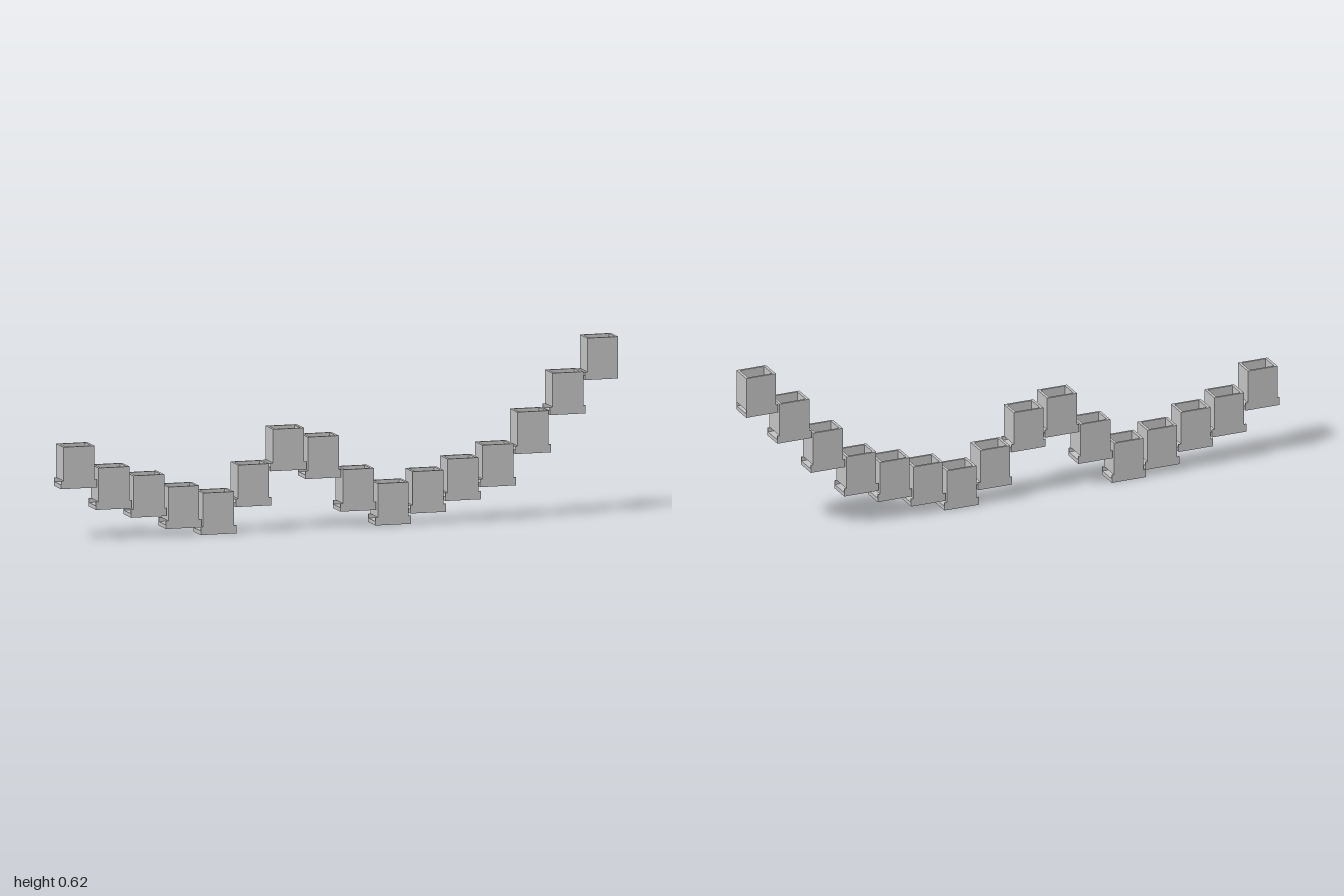
import * as THREE from 'three';

const plastic = new THREE.MeshStandardMaterial({ color: 0xc4c4c4 });
plastic.name = 'light grey plastic';

const BODY_W = 0.111, DEPTH = 0.084, HEIGHT = 0.145, LIP = 0.0085;
const SLOT_LOW = 0.014, SLOT_HIGH = 0.028, RAIL = 0.004;
const WALL_X = 0.01, WALL_Z = 0.008;

// Box given by its x, y and z limits
function block(name, x0, x1, y0, y1, z0, z1) {
  const mesh = new THREE.Mesh(new THREE.BoxGeometry(x1 - x0, y1 - y0, z1 - z0), plastic);
  mesh.position.set((x0 + x1) / 2, (y0 + y1) / 2, (z0 + z1) / 2);
  mesh.name = name;
  return mesh;
}

// Open-topped rectangular tube forming the cup walls
function cupWalls(y0, y1) {
  const w = BODY_W / 2, d = DEPTH / 2;
  const rect = (a, b) => [[-a, -b], [a, -b], [a, b], [-a, b]].map(([x, y]) => new THREE.Vector2(x, y));
  const shape = new THREE.Shape(rect(w, d));
  shape.holes.push(new THREE.Path(rect(w - WALL_X, d - WALL_Z).reverse()));
  const geo = new THREE.ExtrudeGeometry(shape, { depth: y1 - y0, bevelEnabled: false });
  geo.rotateX(-Math.PI / 2);
  geo.translate(0, y0, 0);
  const mesh = new THREE.Mesh(geo, plastic);
  mesh.name = 'cupWalls';
  return mesh;
}

// One cup: slotted foot with end lips, floor and walls
function cup(rightLip) {
  const g = new THREE.Group();
  const w = BODY_W / 2, d = DEPTH / 2;
  const x0 = -w - LIP, x1 = w + rightLip;
  g.add(block('footPlate', x0, x1, 0, SLOT_LOW, -d, d));
  g.add(block('backRail', x0, x1, SLOT_LOW, SLOT_HIGH, -d, -d + RAIL));
  g.add(block('frontRail', x0, x1, SLOT_LOW, SLOT_HIGH, d - RAIL, d));
  g.add(block('cupFloor', -w + WALL_X, w - WALL_X, SLOT_HIGH, SLOT_HIGH + 0.008, -d + WALL_Z, d - WALL_Z));
  g.add(cupWalls(SLOT_HIGH, HEIGHT));
  return g;
}

export function createModel() {
  const model = new THREE.Group();
  model.name = 'cupChain';
  // Height of each cup's foot, from -x to +x
  const heights = [0.183, 0.105, 0.072, 0.027, 0, 0.091, 0.209, 0.176,
    0.057, 0.003, 0.0385, 0.076, 0.118, 0.2265, 0.3555, 0.471];
  const first = -0.936, last = 0.9445, n = heights.length - 1;
  heights.forEach((y, i) => {
    // The last cup ends flush, without an outer lip
    const c = cup(i === n ? 0 : LIP);
    c.name = 'cup' + (i + 1);
    c.position.set(first + (last - first) * i / n, y, 0);
    model.add(c);
  });
  return model;
}
